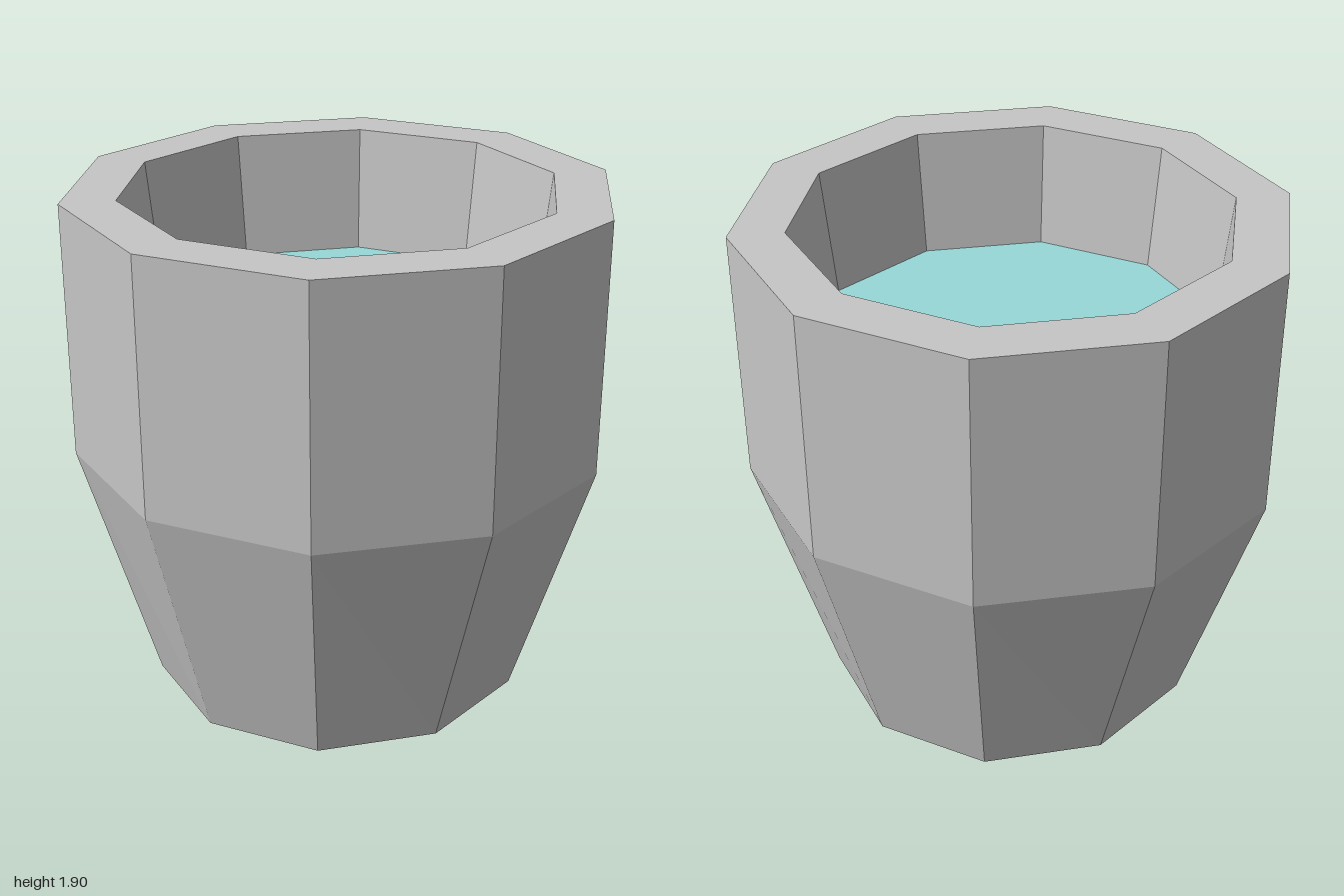
import * as THREE from 'three';

const SIDES = 10;

export function createModel() {
  const group = new THREE.Group();
  const stone = new THREE.MeshStandardMaterial({ color: 0xc6c6c6 });
  stone.name = 'grey stone';
  const aqua = new THREE.MeshStandardMaterial({ color: 0x98d8d8 });
  aqua.name = 'pale water';

  // Ten-sided cup: base, tapered foot, straight wall, rim, sloping inner wall
  const profile = [
    [0, 0], [0.75, 0], [1, 0.95], [1, 1.9], [0.8, 1.9], [0.748, 1.425],
  ].map(([r, y]) => new THREE.Vector2(r, y));
  const lathe = new THREE.LatheGeometry(profile, SIDES, Math.PI / 2);

  // The foot is slightly narrower across x than along z
  const pos = lathe.attributes.position;
  for (let i = 0; i < pos.count; i++) {
    if (pos.getY(i) < 0.01) pos.setX(i, pos.getX(i) * 0.948);
  }

  // Separate faces for crisp facets
  const cupGeometry = lathe.toNonIndexed();
  cupGeometry.computeVertexNormals();
  const cup = new THREE.Mesh(cupGeometry, stone);
  cup.name = 'cup';
  group.add(cup);

  // Liquid surface inside the cup
  const water = new THREE.Mesh(new THREE.CircleGeometry(0.748, SIDES).rotateX(-Math.PI / 2), aqua);
  water.position.y = 1.425;
  water.name = 'waterSurface';
  group.add(water);

  return group;
}
